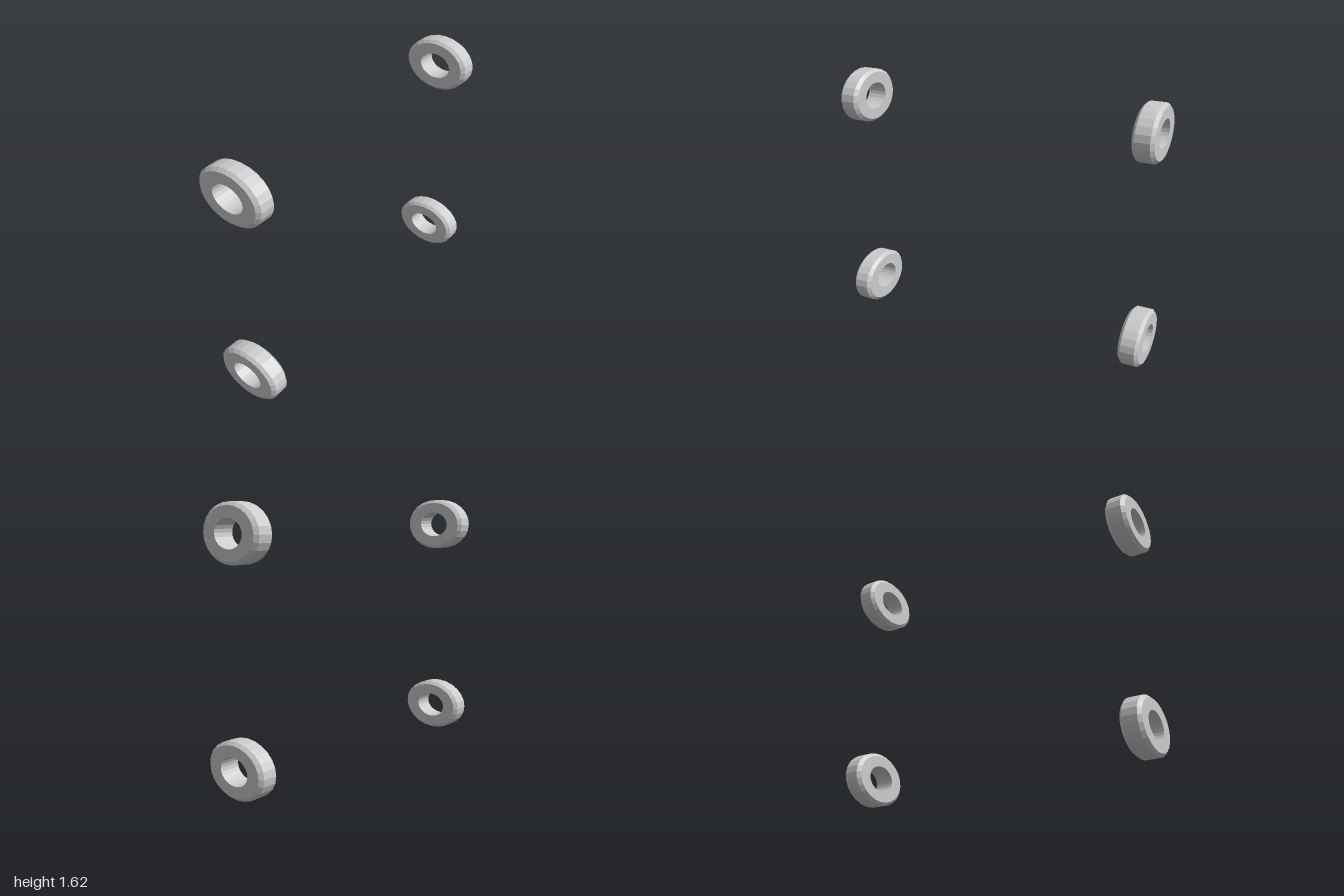
import * as THREE from 'three';

export function createModel() {
  const model = new THREE.Group();
  const material = new THREE.MeshStandardMaterial({ color: 0xcccccc, flatShading: true });

  // Ring cross-section: chamfered outer rim and a plain bore
  const half = 0.063, chamfer = 0.019;
  const outer = 0.218, face = 0.194, bore = 0.107;
  const profile = [
    [bore, -half], [face, -half], [outer, -half + chamfer],
    [outer, half - chamfer], [face, half], [bore, half], [bore, -half],
  ].map(([r, y]) => new THREE.Vector2(r, y));

  // Axis along x, squashed in height to an oval
  const height = 0.166;
  const geometry = new THREE.LatheGeometry(profile, 24);
  geometry.rotateZ(Math.PI / 2);
  geometry.scale(1, height / outer, 1);

  // One ring at each corner of an upright rectangle
  for (const [level, y] of [['lower', height], ['upper', 1.451]]) {
    for (const [side, sign] of [['Left', 1], ['Right', -1]]) {
      const ring = new THREE.Mesh(geometry, material);
      ring.name = `${level}${side}Ring`;
      ring.position.set(sign * (1 - half), y, 0);
      model.add(ring);
    }
  }
  return model;
}
